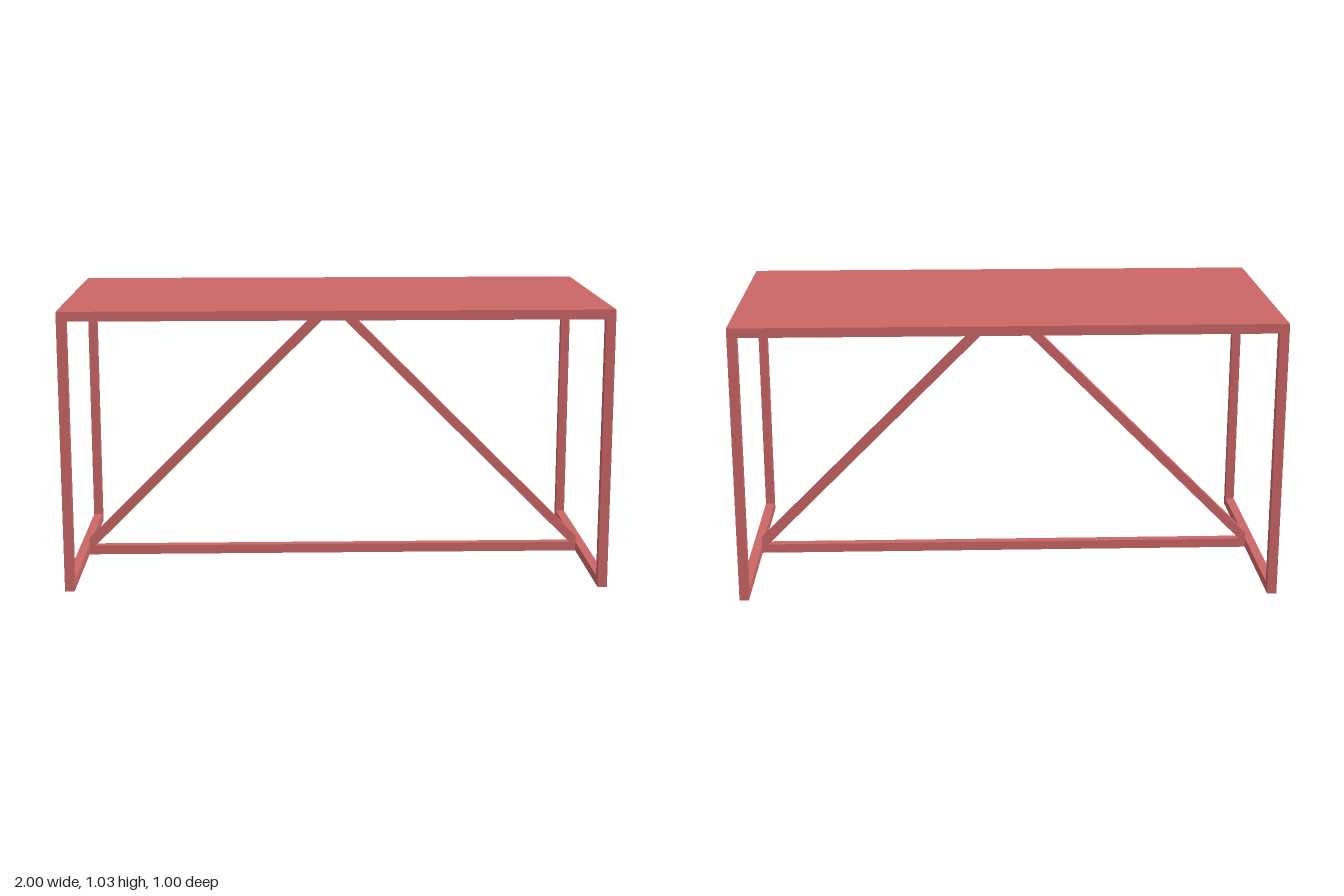
import * as THREE from 'three';

const T = 0.035; // bar and top thickness
const H = 1.035; // full height
const W = 2, D = 1;

export function createModel() {
  const group = new THREE.Group();
  const red = new THREE.MeshStandardMaterial({ color: 0xcc6666 });
  red.name = 'red';

  const add = (name, geometry, x, y, z) => {
    const mesh = new THREE.Mesh(geometry, red);
    mesh.name = name;
    mesh.position.set(x, y, z);
    group.add(mesh);
  };

  // Table top
  add('tableTop', new THREE.BoxGeometry(W, T, D), 0, H - T / 2, 0);

  // Stretcher joining the two end frames
  add('stretcher', new THREE.BoxGeometry(W - 2 * T, T, T), 0, T / 2, 0);

  for (const side of [1, -1]) {
    const label = side > 0 ? 'left' : 'right';
    const x = side * (W / 2 - T / 2);

    // End frame: two legs and a floor rail
    for (const end of [1, -1]) {
      add(label + (end > 0 ? 'Front' : 'Back') + 'Leg',
        new THREE.BoxGeometry(T, H - T, T), x, (H - T) / 2, end * (D / 2 - T / 2));
    }
    add(label + 'FloorRail', new THREE.BoxGeometry(T, T, D - 2 * T), x, T / 2, 0);

    // Diagonal brace, mitred at the leg frame, the top and the centre
    const foot = W / 2 - T, head = H - T, cut = T * Math.SQRT1_2;
    const outline = [
      [foot, T], [foot, T + cut], [cut, head],
      [0, head], [0, head - cut], [foot - cut, T],
    ].map(([px, py]) => new THREE.Vector2(side * px, py));
    const brace = new THREE.ExtrudeGeometry(new THREE.Shape(outline), { depth: T, bevelEnabled: false });
    add(label + 'Brace', brace, 0, 0, -T / 2);
  }
  return group;
}
